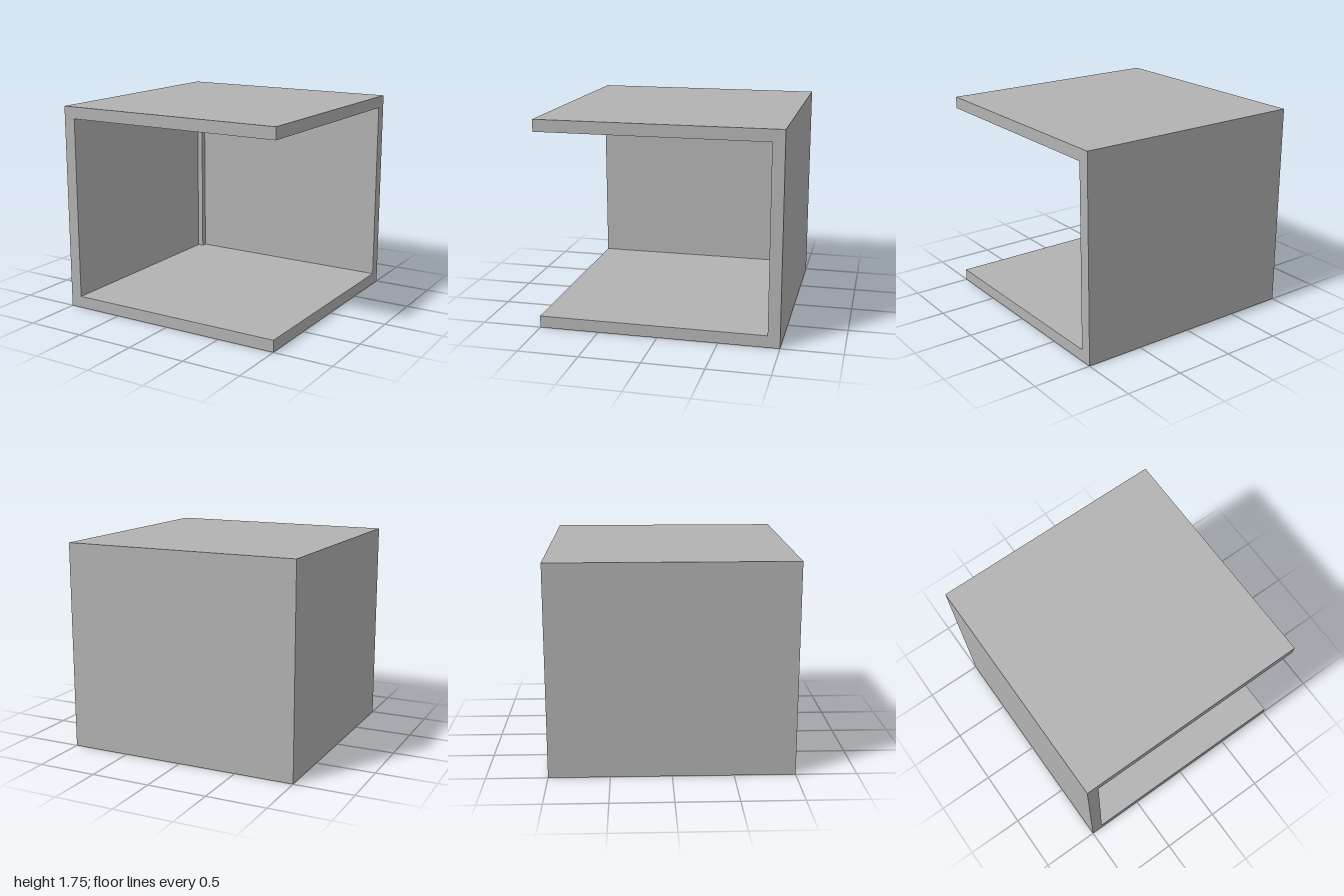
import * as THREE from 'three';

export function createModel() {
  const group = new THREE.Group();
  const grey = new THREE.MeshStandardMaterial({ color: 0xb2b2b2 });
  grey.name = 'plain grey';

  // Box given by its lowest and highest corners
  const box = (name, [x0, y0, z0], [x1, y1, z1]) => {
    const mesh = new THREE.Mesh(new THREE.BoxGeometry(x1 - x0, y1 - y0, z1 - z0), grey);
    mesh.position.set((x0 + x1) / 2, (y0 + y1) / 2, (z0 + z1) / 2);
    mesh.name = name;
    group.add(mesh);
  };

  const height = 1.75, wall = 0.1;
  const low = wall, high = height - wall, inner = -1 + wall;

  // Floor and ceiling slabs
  box('floor', [-1, 0, -1], [1, low, 1]);
  box('ceiling', [-1, high, -1], [1, height, 1]);

  // Two walls meeting in the back corner; the other two sides are open
  box('backWall', [-1, low, -1], [1, high, inner]);
  box('sideWall', [-1, low, inner], [inner, high, 1]);

  // Square post in the inner corner with a wider cap under the ceiling
  const capBottom = 1.615;
  box('cornerPost', [inner, low, inner], [-0.85, capBottom, -0.85]);
  box('postCap', [inner, capBottom, inner], [-0.825, high, -0.825]);

  return group;
}
